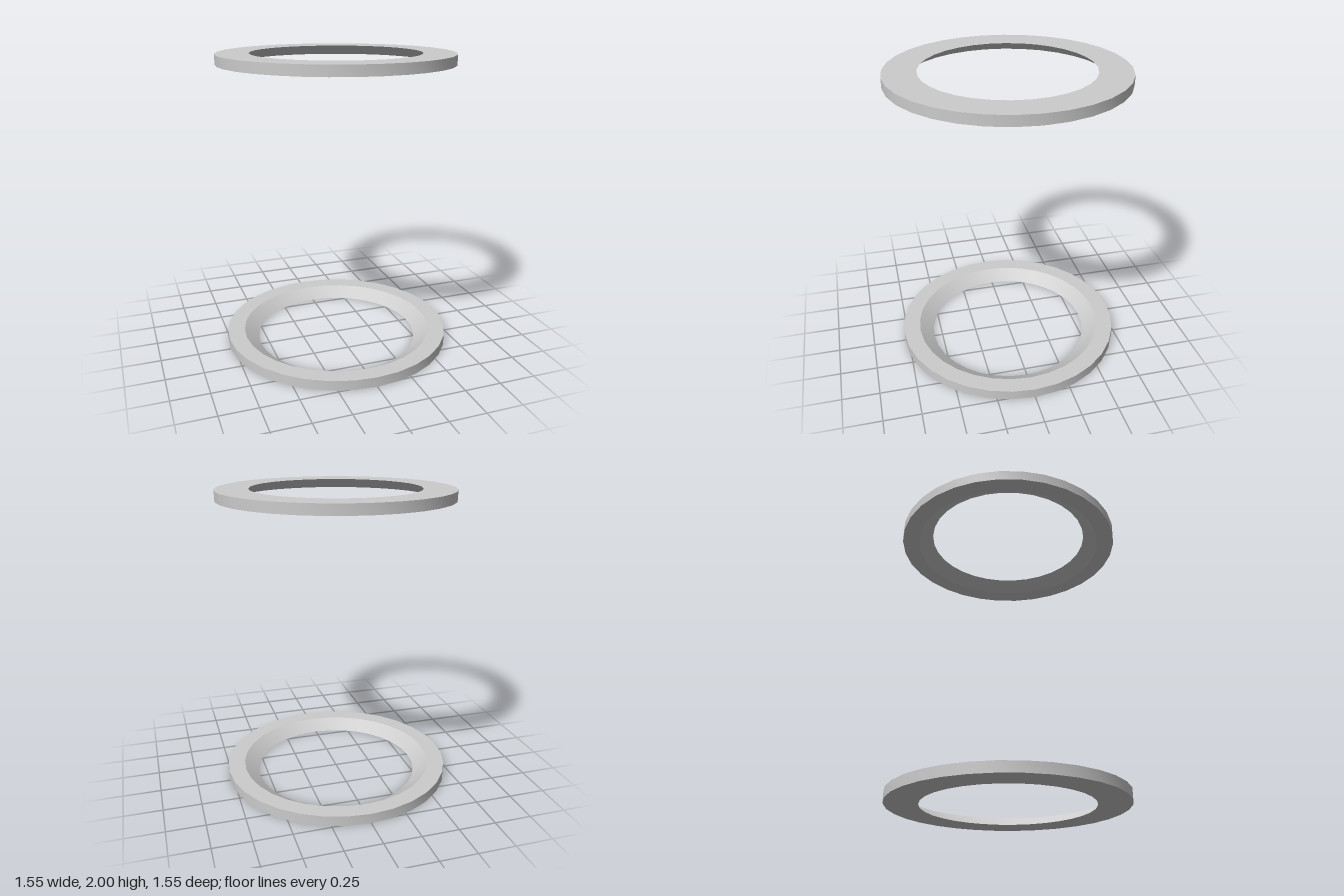
import * as THREE from 'three';
import { toCreasedNormals } from 'three/addons/utils/BufferGeometryUtils.js';

const OUTER = 0.777, INNER_WIDE = 0.66, INNER_NARROW = 0.56, THICKNESS = 0.067, HEIGHT = 2;

export function createModel() {
  const group = new THREE.Group();
  const material = new THREE.MeshStandardMaterial({ color: 0xcccccc });

  // Flat ring whose hole widens upward in a bevel
  const profile = [
    [INNER_NARROW, 0],
    [OUTER, 0],
    [OUTER, THICKNESS],
    [INNER_WIDE, THICKNESS],
    [INNER_NARROW, 0],
  ].map(([r, y]) => new THREE.Vector2(r, y));
  const geometry = toCreasedNormals(new THREE.LatheGeometry(profile, 32), 0.4);

  const bottomRing = new THREE.Mesh(geometry, material);
  bottomRing.name = 'bottomRing';

  // Same ring turned over, so the two bevels face each other
  const topRing = new THREE.Mesh(geometry, material);
  topRing.name = 'topRing';
  topRing.rotation.x = Math.PI;
  topRing.position.y = HEIGHT;

  group.add(bottomRing, topRing);
  return group;
}
